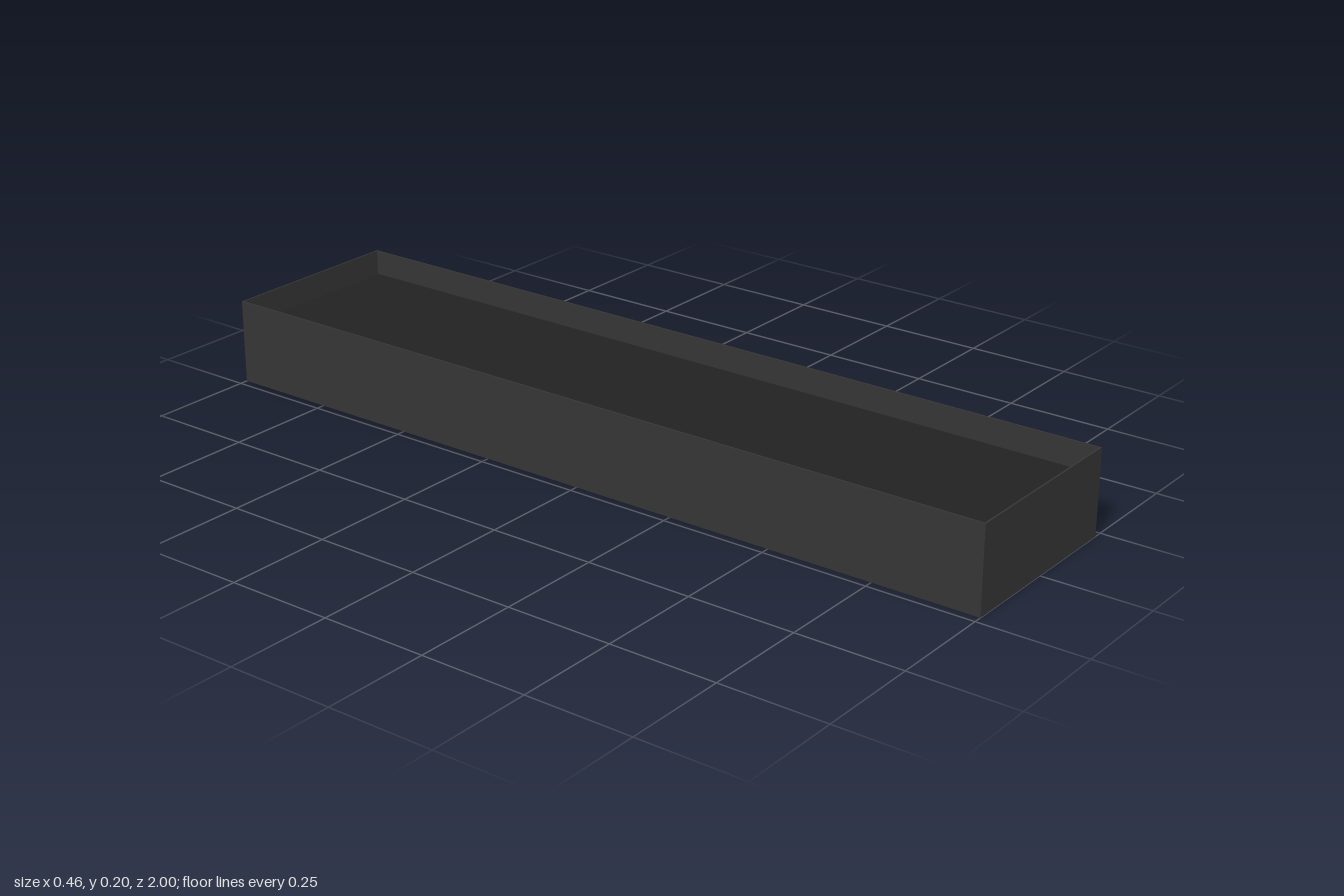
import * as THREE from 'three';

const frameGrey = new THREE.MeshStandardMaterial({ color: 0x353535, name: 'frame grey' });
const trayDark = new THREE.MeshStandardMaterial({ color: 0x222222, name: 'tray dark' });
const tubeWhite = new THREE.MeshStandardMaterial({ color: 0xcacaca, name: 'tube white' });
const capGrey = new THREE.MeshStandardMaterial({ color: 0x8c8c8c, name: 'cap grey' });

const W = 0.23, L = 1, H = 0.2;        // outer half width, half length, height
const w = 0.19, l = 0.96, trayY = 0.158; // inner tray half sizes and top
const T = 0.004;

function box(parent, name, mat, sx, sy, sz, x, y, z) {
  const m = new THREE.Mesh(new THREE.BoxGeometry(sx, sy, sz), mat);
  m.name = name;
  m.position.set(x, y, z);
  parent.add(m);
}

// four thin upright walls around a rectangle
function walls(parent, name, mat, hw, hl, y0, y1) {
  const h = y1 - y0, y = (y0 + y1) / 2;
  for (const s of [-1, 1]) {
    box(parent, name + 'Side', mat, T, h, hl * 2, s * (hw - T / 2), y, 0);
    box(parent, name + 'End', mat, (hw - T) * 2, h, T, 0, y, s * (hl - T / 2));
  }
}

function cylinder(parent, name, mat, r, len, x, y, z) {
  const m = new THREE.Mesh(new THREE.CylinderGeometry(r, r, len, 32), mat);
  m.name = name;
  m.rotation.x = Math.PI / 2;
  m.position.set(x, y, z);
  parent.add(m);
}

export function createModel() {
  const model = new THREE.Group();
  model.name = 'ceilingLight';

  // outer housing, open at the top
  const housing = new THREE.Group();
  housing.name = 'housing';
  walls(housing, 'housing', frameGrey, W, L, 0, H);

  // flat lip around the lower opening
  const lip = new THREE.Shape();
  lip.moveTo(-W, -L).lineTo(W, -L).lineTo(W, L).lineTo(-W, L).closePath();
  const hole = new THREE.Path();
  hole.moveTo(-w, -l).lineTo(-w, l).lineTo(w, l).lineTo(w, -l).closePath();
  lip.holes.push(hole);
  const lipGeo = new THREE.ExtrudeGeometry(lip, { depth: T, bevelEnabled: false });
  lipGeo.rotateX(-Math.PI / 2);
  const lipMesh = new THREE.Mesh(lipGeo, frameGrey);
  lipMesh.name = 'lowerLip';
  housing.add(lipMesh);

  // recessed tray, open below
  const tray = new THREE.Group();
  tray.name = 'tray';
  walls(tray, 'tray', trayDark, w, l, T, trayY - T);
  box(tray, 'trayTop', trayDark, w * 2, T, l * 2, 0, trayY - T / 2, 0);

  // two lamp tubes with end caps
  const lamps = new THREE.Group();
  lamps.name = 'lamps';
  for (const sx of [-1, 1]) {
    const x = sx * 0.09, y = 0.06;
    cylinder(lamps, 'lampTube', tubeWhite, 0.052, 1.8, x, y, 0);
    for (const sz of [-1, 1]) cylinder(lamps, 'lampCap', capGrey, 0.056, 0.05, x, y, sz * 0.9);
  }

  model.add(housing, tray, lamps);
  return model;
}
